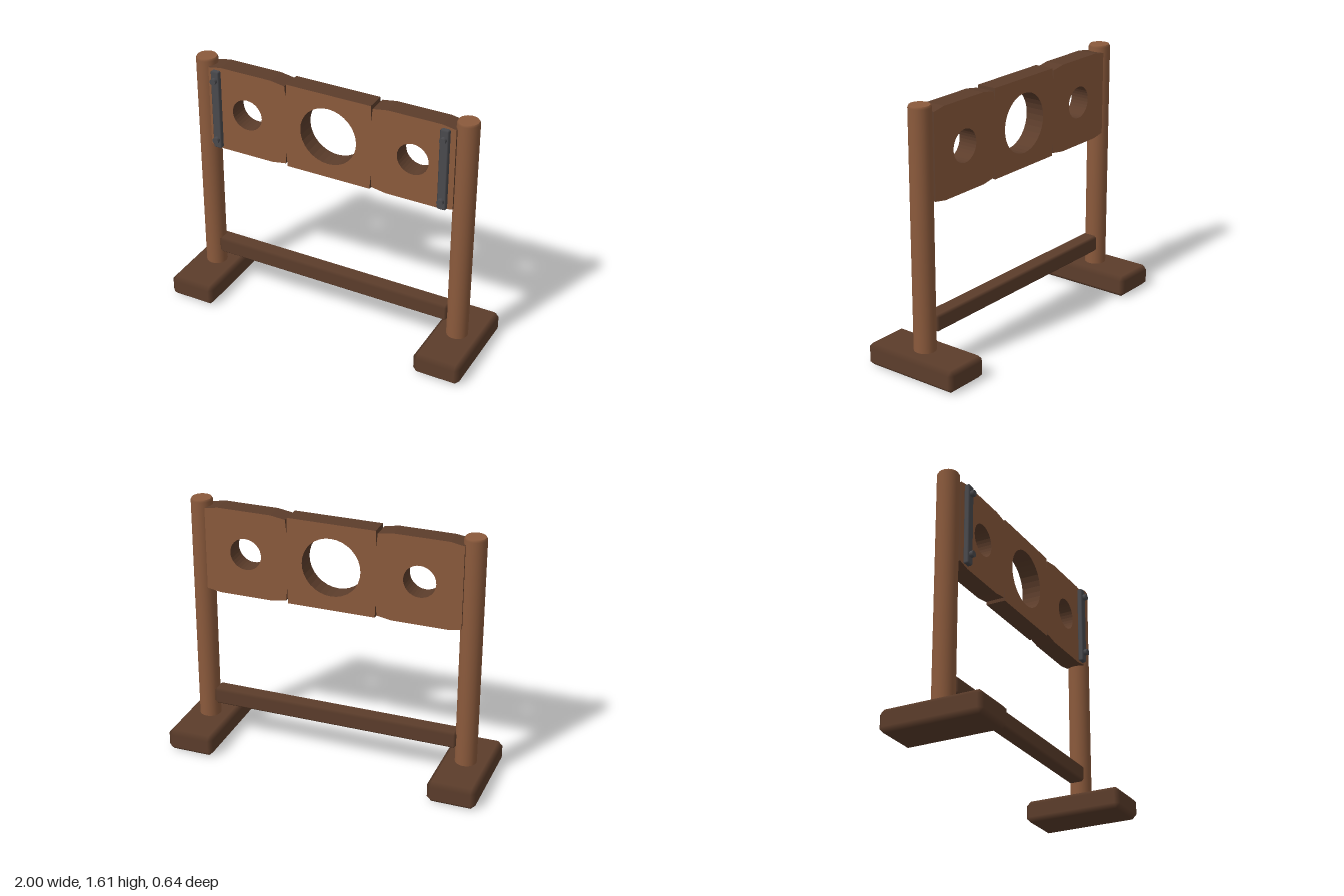
import * as THREE from 'three';
import { mergeVertices } from 'three/addons/utils/BufferGeometryUtils.js';
import { ConvexGeometry } from 'three/addons/geometries/ConvexGeometry.js';

// Box with chamfered edges; normals follow the main faces so the edges shade softly.
function chamferBox(w, h, d, c) {
  const half = [w / 2, h / 2, d / 2];
  const points = [];
  for (let axis = 0; axis < 3; axis++) {
    for (const sx of [-1, 1]) for (const sy of [-1, 1]) for (const sz of [-1, 1]) {
      const p = [sx, sy, sz].map((s, i) => s * (i === axis ? half[i] : half[i] - c));
      points.push(new THREE.Vector3(...p));
    }
  }
  const geometry = new ConvexGeometry(points);
  geometry.deleteAttribute('normal');
  const merged = mergeVertices(geometry);
  const pos = merged.attributes.position;
  const normals = new Float32Array(pos.count * 3);
  for (let i = 0; i < pos.count; i++) {
    for (let a = 0; a < 3; a++) {
      const v = pos.getComponent(i, a);
      if (Math.abs(v) > half[a] - c / 2) normals[i * 3 + a] = Math.sign(v);
    }
  }
  merged.setAttribute('normal', new THREE.BufferAttribute(normals, 3));
  return merged;
}

// Board outline, symmetric in x and y around its centre, with narrow notches.
function boardGeometry() {
  const quarter = [[0.275, 0.275], [0.279, 0.18], [0.287, 0.26], [0.38, 0.275], [0.72, 0.275], [0.805, 0.26]];
  const back = [...quarter].reverse();
  const outline = [
    ...back.map(([x, y]) => [x, y]),
    ...quarter.map(([x, y]) => [-x, y]),
    ...back.map(([x, y]) => [-x, -y]),
    ...quarter.map(([x, y]) => [x, -y]),
  ];
  const shape = new THREE.Shape(outline.map(([x, y]) => new THREE.Vector2(x, y)));
  for (const [x, r] of [[0, 0.184], [-0.545, 0.1], [0.545, 0.1]]) {
    shape.holes.push(new THREE.Path().absarc(x, 0, r, 0, Math.PI * 2, true));
  }
  const geometry = new THREE.ExtrudeGeometry(shape, { depth: 0.124, bevelEnabled: false, curveSegments: 16 });
  return geometry.translate(0, 0, -0.062);
}

// Round post with a softly chamfered top.
function postGeometry() {
  const profile = [[0.067, 0.1], [0.067, 1.592], [0.06, 1.605]].map(([x, y]) => new THREE.Vector2(x, y));
  return new THREE.LatheGeometry(profile, 24);
}

export function createModel() {
  const model = new THREE.Group();
  model.name = 'pillory';

  const material = (name, color) => {
    const m = new THREE.MeshStandardMaterial({ color });
    m.name = name;
    return m;
  };
  const wood = material('wood', 0x8b5a3c);
  const darkWood = material('darkWood', 0x5c3d2b);
  const iron = material('iron', 0x4a4a4e);

  const add = (name, geometry, mat, x, y, z) => {
    const mesh = new THREE.Mesh(geometry, mat);
    mesh.name = name;
    mesh.position.set(x, y, z);
    model.add(mesh);
    return mesh;
  };

  const foot = chamferBox(0.3, 0.138, 0.644, 0.028);
  const post = postGeometry();
  const cap = new THREE.CircleGeometry(0.06, 24).rotateX(-Math.PI / 2);
  const strap = chamferBox(0.056, 0.52, 0.036, 0.008);
  const bolt = new THREE.CylinderGeometry(0.02, 0.02, 0.04, 10).rotateX(Math.PI / 2);

  // Feet, posts and iron straps on both sides
  for (const [side, s] of [['left', 1], ['right', -1]]) {
    add(side + 'Foot', foot, darkWood, s * 0.85, 0.069, 0);
    add(side + 'Post', post, wood, s * 0.85, 0, 0);
    add(side + 'PostTop', cap, wood, s * 0.85, 1.605, 0);
    add(side + 'Strap', strap, iron, s * 0.745, 1.3, 0.078);
    for (const [level, y] of [['Upper', 1.5], ['Lower', 1.1]]) {
      add(side + level + 'Bolt', bolt, iron, s * 0.745, y, 0.099);
    }
  }

  // Board with neck and wrist holes, and the lower rail
  add('board', boardGeometry(), [wood, darkWood], 0, 1.302, 0);
  add('lowerRail', chamferBox(1.59, 0.106, 0.106, 0.015), darkWood, 0, 0.287, 0);

  return model;
}
